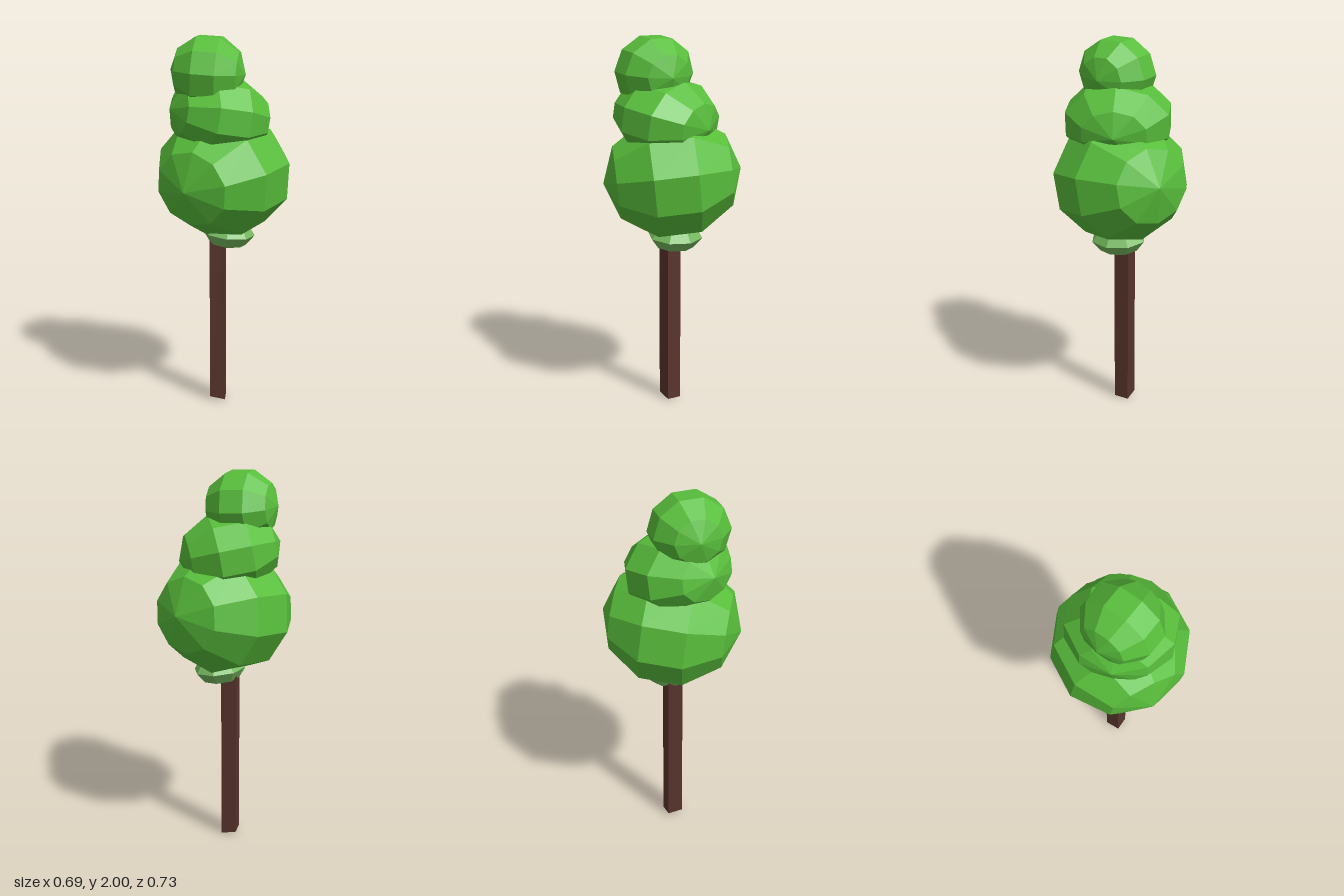
import * as THREE from 'three';

const leaf = new THREE.MeshStandardMaterial({ color: 0x58be3b });
leaf.name = 'leafGreen';
const paleLeaf = new THREE.MeshStandardMaterial({ color: 0x76ba60 });
paleLeaf.name = 'paleLeafGreen';
const bark = new THREE.MeshStandardMaterial({ color: 0x58342d });
bark.name = 'barkBrown';

// Faceted ball lying on its side: the pole points along +z, then is pitched and turned.
function foliageBall(name, { side, up, pole, roll, yaw, tilt, at }) {
  const indexed = new THREE.SphereGeometry(1, 10, 5);
  indexed.rotateY(roll);
  indexed.rotateX(Math.PI / 2);
  indexed.scale(side, up, pole);
  indexed.rotateX(tilt);
  indexed.rotateY(yaw);
  indexed.translate(...at);
  return flatMesh(name, indexed, leaf);
}

// Split the faces so every facet has its own normal.
function flatMesh(name, indexed, material) {
  const geometry = indexed.toNonIndexed();
  geometry.computeVertexNormals();
  const mesh = new THREE.Mesh(geometry, material);
  mesh.name = name;
  return mesh;
}

export function createModel() {
  const tree = new THREE.Group();
  tree.name = 'tree';

  // Square trunk with a slanted foot, green on the cut underside
  const trunk = new THREE.BoxGeometry(0.082, 1.1, 0.082);
  trunk.translate(-0.031, 0.55, -0.006);
  const p = trunk.attributes.position;
  for (let i = 0; i < p.count; i++) {
    if (p.getY(i) < 0.1) p.setY(i, (p.getX(i) < -0.03 ? 0.016 : 0) + (p.getZ(i) > 0 ? 0.004 : 0));
  }
  trunk.computeVertexNormals();
  const trunkMesh = new THREE.Mesh(trunk, [bark, bark, bark, leaf, bark, bark]);
  trunkMesh.name = 'trunk';
  tree.add(trunkMesh);

  // Stacked crown
  tree.add(
    foliageBall('lowerCrown', {
      side: 0.365, up: 0.335, pole: 0.366, roll: Math.PI / 10 - 0.11, yaw: -0.526, tilt: 0.1, at: [0, 1.275, 0],
    }),
    foliageBall('middleCrown', {
      side: 0.295, up: 0.218, pole: 0.27, roll: Math.PI / 10, yaw: 1.94, tilt: 0.17, at: [-0.02, 1.588, 0.025],
    }),
    foliageBall('upperCrown', {
      side: 0.21, up: 0.198, pole: 0.195, roll: -0.03, yaw: 1.49, tilt: 0.06, at: [-0.075, 1.817, 0.062],
    })
  );

  // Small pale tuft where the trunk meets the crown
  const tuft = new THREE.SphereGeometry(1, 8, 4);
  tuft.scale(0.14, 0.08, 0.15);
  tuft.rotateZ(-0.1);
  tuft.translate(0.028, 0.955, 0);
  tree.add(flatMesh('tuft', tuft, paleLeaf));

  return tree;
}
